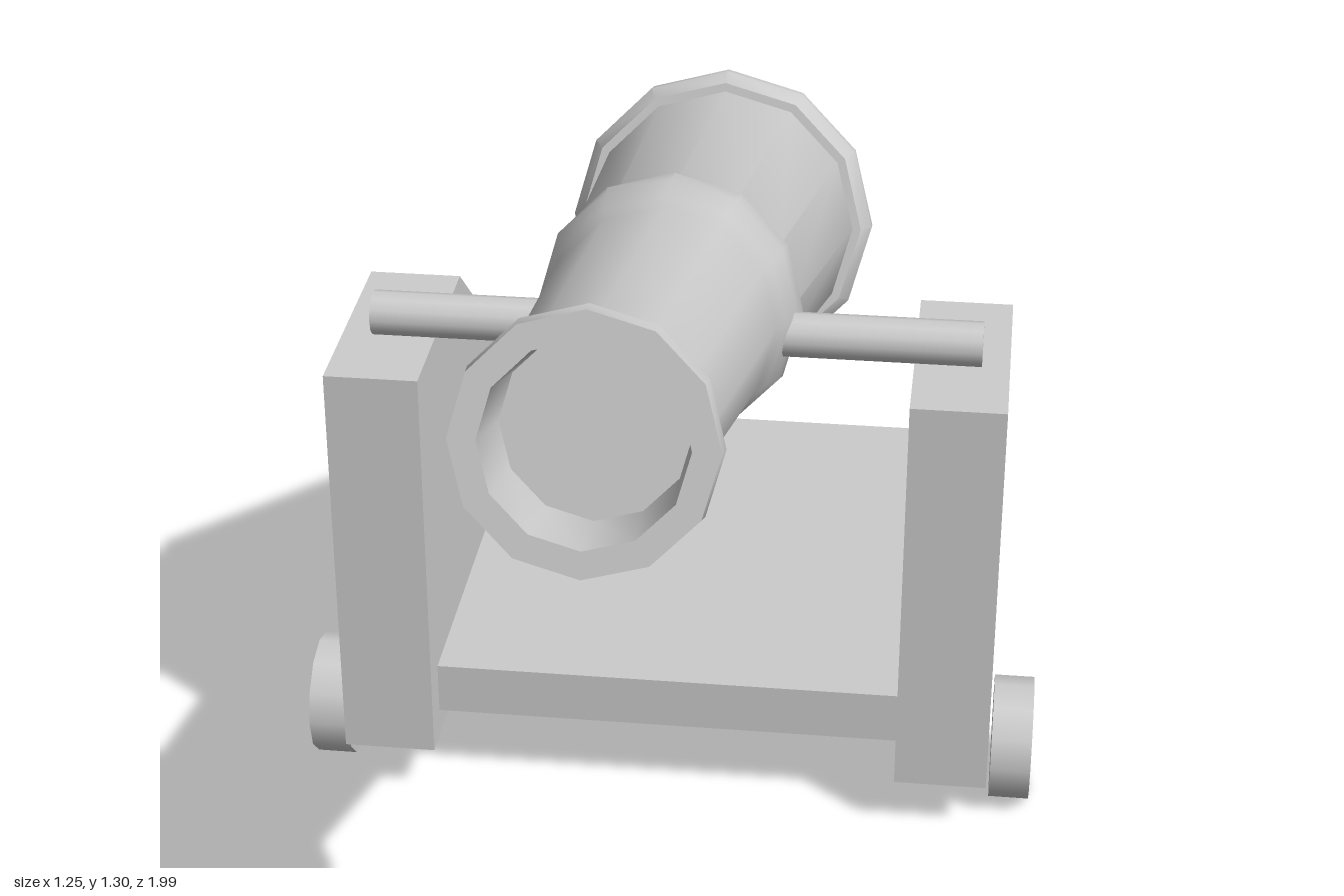
import * as THREE from 'three';
import { toCreasedNormals } from 'three/addons/utils/BufferGeometryUtils.js';

const SIDES = 12;
const CREASE = 0.62;

export function createModel() {
  const model = new THREE.Group();
  model.name = 'cannon';
  const material = new THREE.MeshStandardMaterial({ color: 0xcccccc });

  const add = (name, geometry, x = 0, y = 0, z = 0) => {
    const mesh = new THREE.Mesh(geometry, material);
    mesh.name = name;
    mesh.position.set(x, y, z);
    model.add(mesh);
    return mesh;
  };
  // Cylinder lying along x
  const crossCylinder = (radius, length) =>
    new THREE.CylinderGeometry(radius, radius, length, SIDES).rotateZ(Math.PI / 2);

  // Barrel: [radius, distance along the bore axis], breech to muzzle, then into the bore
  const profile = [
    [0, -0.993], [0.155, -0.993], [0.19, -0.965], [0.2, -0.96], [0.25, -0.93],
    [0.275, -0.897], [0.287, -0.885], [0.287, -0.857], [0.268, -0.826], [0.252, -0.826],
    [0.2, -0.042], [0.219, -0.005], [0.214, 0.04], [0.2, 0.108], [0.188, 0.155],
    [0.15, 0.915], [0.188, 0.952], [0.185, 0.98], [0.145, 0.98], [0.135, 0.86], [0, 0.86],
  ].map(([r, t]) => new THREE.Vector2(r, t));
  const barrel = toCreasedNormals(new THREE.LatheGeometry(profile, SIDES), CREASE);
  barrel.rotateX(Math.PI / 2);
  add('barrel', barrel, -0.01, 0.872, 0).rotation.x = -0.257;

  // Trunnion bar through the barrel
  add('trunnion', crossCylinder(0.037, 1.0), 0.005, 0.858, 0.054);

  // Carriage cheeks: side outline in (z, y), extruded across x
  const outline = [[0.2, 0.095], [0.2, 0.81], [-0.177, 0.82], [-0.862, 0.267], [-0.862, 0.095]];
  const thickness = 0.155;
  const cheekShape = new THREE.Shape(outline.map(([z, y]) => new THREE.Vector2(-z, y)));
  const cheek = new THREE.ExtrudeGeometry(cheekShape, { depth: thickness, bevelEnabled: false });
  cheek.translate(0, 0, -thickness / 2).rotateY(Math.PI / 2);

  for (const [side, s] of [['left', 1], ['right', -1]]) {
    add(side + 'Cheek', cheek, s * 0.473, 0, 0);
    add(side + 'Wheel', crossCylinder(0.105, 0.068), s * 0.59, 0.105, 0.054);
  }

  // Carriage floor between the cheeks
  add('carriageFloor', new THREE.BoxGeometry(0.8, 0.09, 0.96), 0, 0.186, -0.336);

  return model;
}
